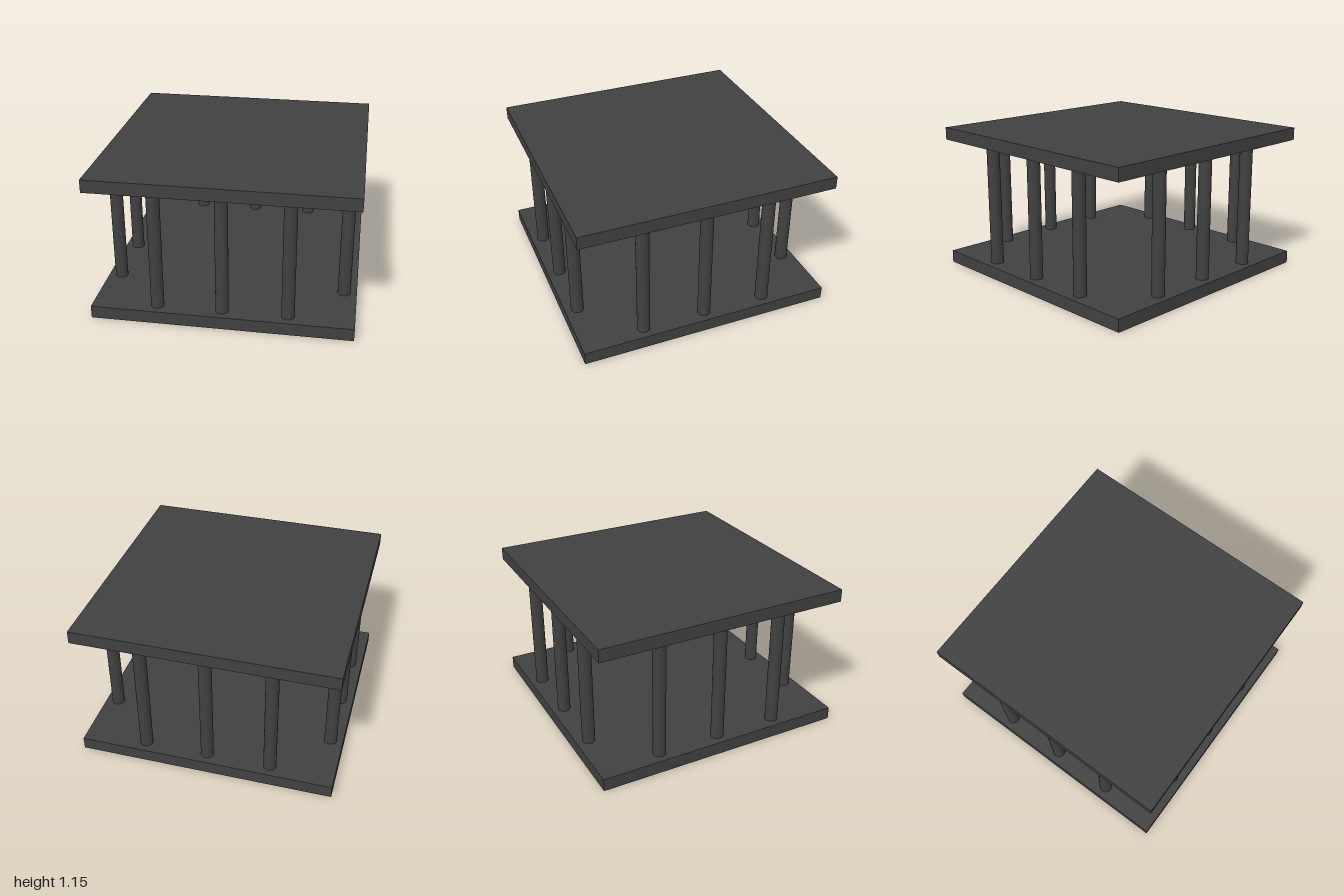
import * as THREE from 'three';

const PLATE = 0.1;      // slab thickness
const HEIGHT = 1.155;   // overall height
const RADIUS = 0.05;    // column radius
const INSET = 0.9;      // column rows' distance from the centre

export function createModel() {
  const group = new THREE.Group();
  const material = new THREE.MeshStandardMaterial({ color: 0x404040 });

  const add = (name, geometry, x, y, z) => {
    const mesh = new THREE.Mesh(geometry, material);
    mesh.name = name;
    mesh.position.set(x, y, z);
    group.add(mesh);
  };

  // Floor and roof slabs
  const slab = new THREE.BoxGeometry(2, PLATE, 2);
  add('floorSlab', slab, 0, PLATE / 2, 0);
  add('roofSlab', slab, 0, HEIGHT - PLATE / 2, 0);

  // Three round columns along each of the four sides, corners left open
  const column = new THREE.CylinderGeometry(RADIUS, RADIUS, HEIGHT - 2 * PLATE, 32);
  for (const side of [-1, 1]) {
    for (const offset of [-0.5, 0, 0.5]) {
      add(side > 0 ? 'frontColumn' : 'backColumn', column, offset, HEIGHT / 2, side * INSET);
      add(side > 0 ? 'leftColumn' : 'rightColumn', column, side * INSET, HEIGHT / 2, offset);
    }
  }

  return group;
}
